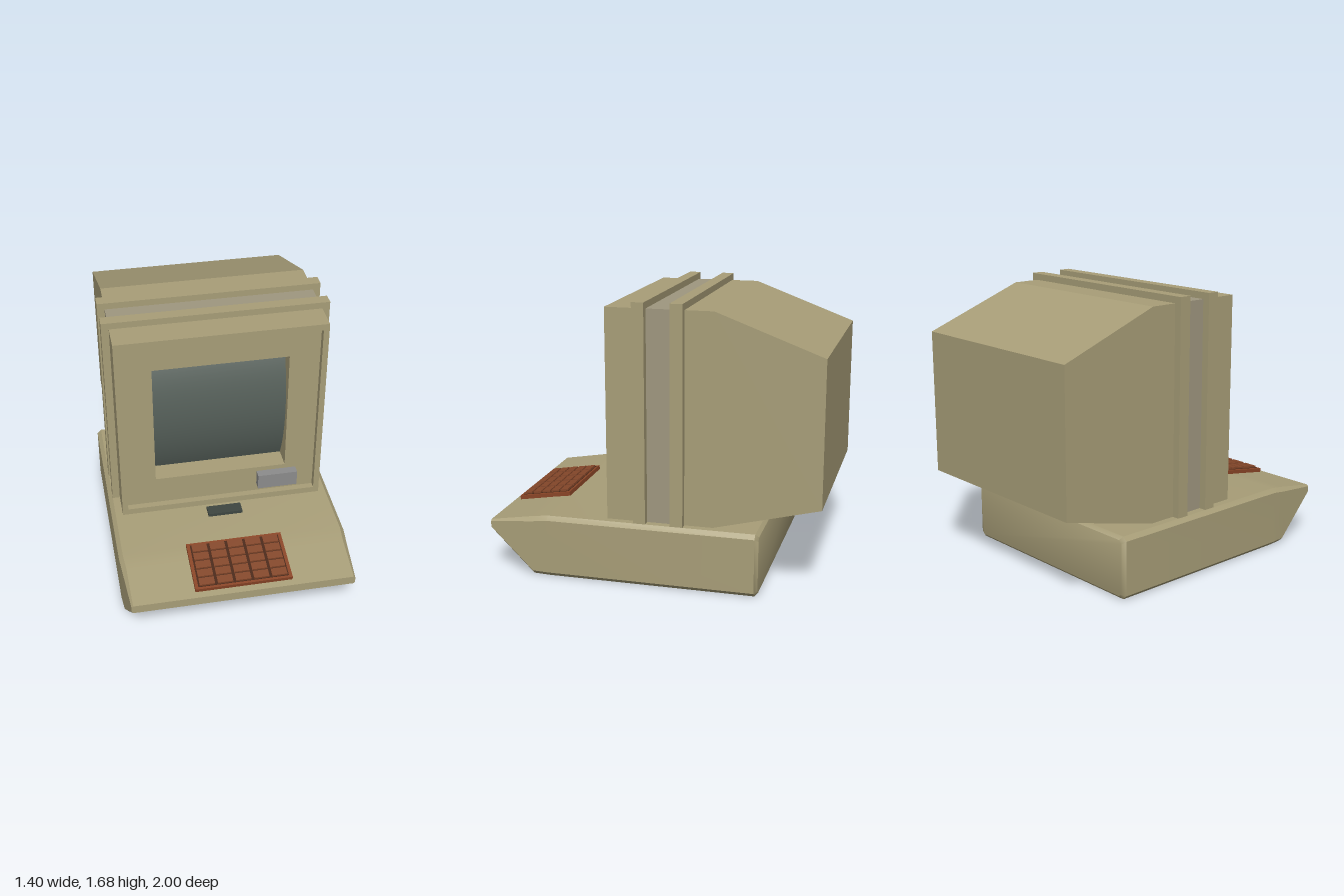
import * as THREE from 'three';
import { toCreasedNormals } from 'three/addons/utils/BufferGeometryUtils.js';

const paint = (color, extra = {}) => new THREE.MeshStandardMaterial({ color, ...extra });

// Lofts chamfered rectangles [z, halfWidth, bottom, top, chamfer], listed back to front
function loft(sections) {
  const pos = [], idx = [];
  for (const [z, w, y0, y1, c] of sections) {
    const ring = [[w - c, y0], [w, y0 + c], [w, y1 - c], [w - c, y1],
      [c - w, y1], [-w, y1 - c], [-w, y0 + c], [c - w, y0]];
    for (const [x, y] of ring) pos.push(x, y, z);
  }
  const last = (sections.length - 1) * 8;
  for (let s = 0; s < last; s += 8) {
    for (let j = 0; j < 8; j++) {
      const a = s + j, b = s + (j + 1) % 8;
      idx.push(a, b, b + 8, a, b + 8, a + 8);
    }
  }
  for (let j = 1; j < 7; j++) idx.push(0, j + 1, j, last, last + j, last + j + 1);
  const g = new THREE.BufferGeometry();
  g.setAttribute('position', new THREE.Float32BufferAttribute(pos, 3));
  g.setIndex(idx);
  return toCreasedNormals(g, 0.7);
}

// Extrudes a (z, y) side profile across the width
function acrossWidth(points, width) {
  const shape = new THREE.Shape(points.map(([z, y]) => new THREE.Vector2(z, y)));
  return new THREE.ExtrudeGeometry(shape, { depth: width, bevelEnabled: false })
    .translate(0, 0, -width / 2).rotateY(-Math.PI / 2);
}

// Rectangular plate with a rectangular hole, between two z depths
function holedPlate([w, y0, y1], [hw, h0, h1], z0, z1) {
  const rect = (P, a, b, c) => new P([[-a, b], [a, b], [a, c], [-a, c]]
    .map(([x, y]) => new THREE.Vector2(x, y)));
  const shape = rect(THREE.Shape, w, y0, y1);
  shape.holes.push(rect(THREE.Path, hw, h0, h1));
  return new THREE.ExtrudeGeometry(shape, { depth: z1 - z0, bevelEnabled: false })
    .translate(0, 0, z0);
}

export function createModel() {
  const model = new THREE.Group();
  model.name = 'desktopTerminal';
  const tan = paint(0xa89e78);
  const band = paint(0x9f977f);
  const add = (name, geometry, material, parent = model) => {
    const mesh = new THREE.Mesh(geometry, material);
    mesh.name = name;
    parent.add(mesh);
    return mesh;
  };
  const box = (name, x0, x1, y0, y1, z0, z1, material, parent) =>
    add(name, new THREE.BoxGeometry(x1 - x0, y1 - y0, z1 - z0)
      .translate((x0 + x1) / 2, (y0 + y1) / 2, (z0 + z1) / 2), material, parent);

  // Wedge-nosed base
  add('base', loft([
    [-0.65, 0.68, 0.02, 0.36, 0.02],
    [-0.63, 0.7, 0, 0.38, 0.025],
    [0.63, 0.7, 0, 0.38, 0.025],
    [0.73, 0.692, 0, 0.365, 0.025],
    [1, 0.672, 0.265, 0.32, 0.01],
  ]), tan);

  // Monitor: tapered rear shell, middle band, raised ribs
  const monitor = new THREE.Group();
  monitor.name = 'monitor';
  model.add(monitor);
  add('rearShell', acrossWidth(
    [[-0.16, 0.38], [-0.16, 1.645], [-0.37, 1.645], [-1, 1.41], [-1, 0.54], [-0.37, 0.38]], 1.26),
  tan, monitor);
  box('middleBand', -0.63, 0.63, 0.38, 1.645, -0.16, 0.06, band, monitor);
  for (const [z0, z1] of [[-0.2, -0.125], [0.025, 0.097]]) {
    box('rib', -0.675, 0.675, 0.38, 1.685, z0, z1, tan, monitor);
  }

  // Front rim, inset panel and recessed screen opening
  const opening = [0.41, 0.605, 1.42];
  const inner = [0.595, 0.42, 1.605];
  // Ribs stay behind the recess, so the opening is lined down to z = 0.1
  add('frontRim', holedPlate([0.63, 0.38, 1.645], inner, 0.06, 0.27), tan, monitor);
  add('frontPanel', holedPlate(inner, opening, 0.06, 0.23), tan, monitor);

  // Screen bulges forward between top and bottom
  const glass = new THREE.PlaneGeometry(0.82, 0.815, 1, 24);
  const p = glass.attributes.position;
  for (let i = 0; i < p.count; i++) {
    const t = p.getY(i) / 0.4075;
    p.setZ(i, 0.1 + 0.09 * (1 - t * t));
  }
  glass.computeVertexNormals();
  glass.translate(0, 1.0125, 0);
  add('screen', glass, paint(0x56605a, { side: THREE.DoubleSide }), monitor);

  // Small fittings
  box('frontButton', 0.23, 0.48, 0.475, 0.575, 0.22, 0.283, paint(0x8c8c8c), monitor);
  box('indicatorBar', -0.105, 0.11, 0.37, 0.4, 0.31, 0.385, paint(0x3e4641));

  // Keypad lying on the sloped nose
  const keypad = new THREE.Group();
  keypad.name = 'keypad';
  keypad.position.set(0.003, 0.366, 0.795);
  keypad.rotation.x = Math.atan2(0.06, 0.37);
  model.add(keypad);
  const W = 0.585, D = 0.338;
  box('keypadTray', -W / 2, W / 2, -0.016, 0.012, -D / 2, D / 2, paint(0x8a4526), keypad);
  box('keyGaps', -W / 2 + 0.02, W / 2 - 0.02, 0, 0.013, -D / 2 + 0.015, D / 2 - 0.015,
    paint(0x4a2817), keypad);
  const key = paint(0x84472a);
  const dx = (W - 0.04) / 5, dz = (D - 0.03) / 5;
  for (let c = -2; c <= 2; c++) {
    for (let r = -2; r <= 2; r++) {
      box('key', c * dx - 0.046, c * dx + 0.046, 0.01, 0.024,
        r * dz - 0.025, r * dz + 0.025, key, keypad);
    }
  }
  return model;
}
